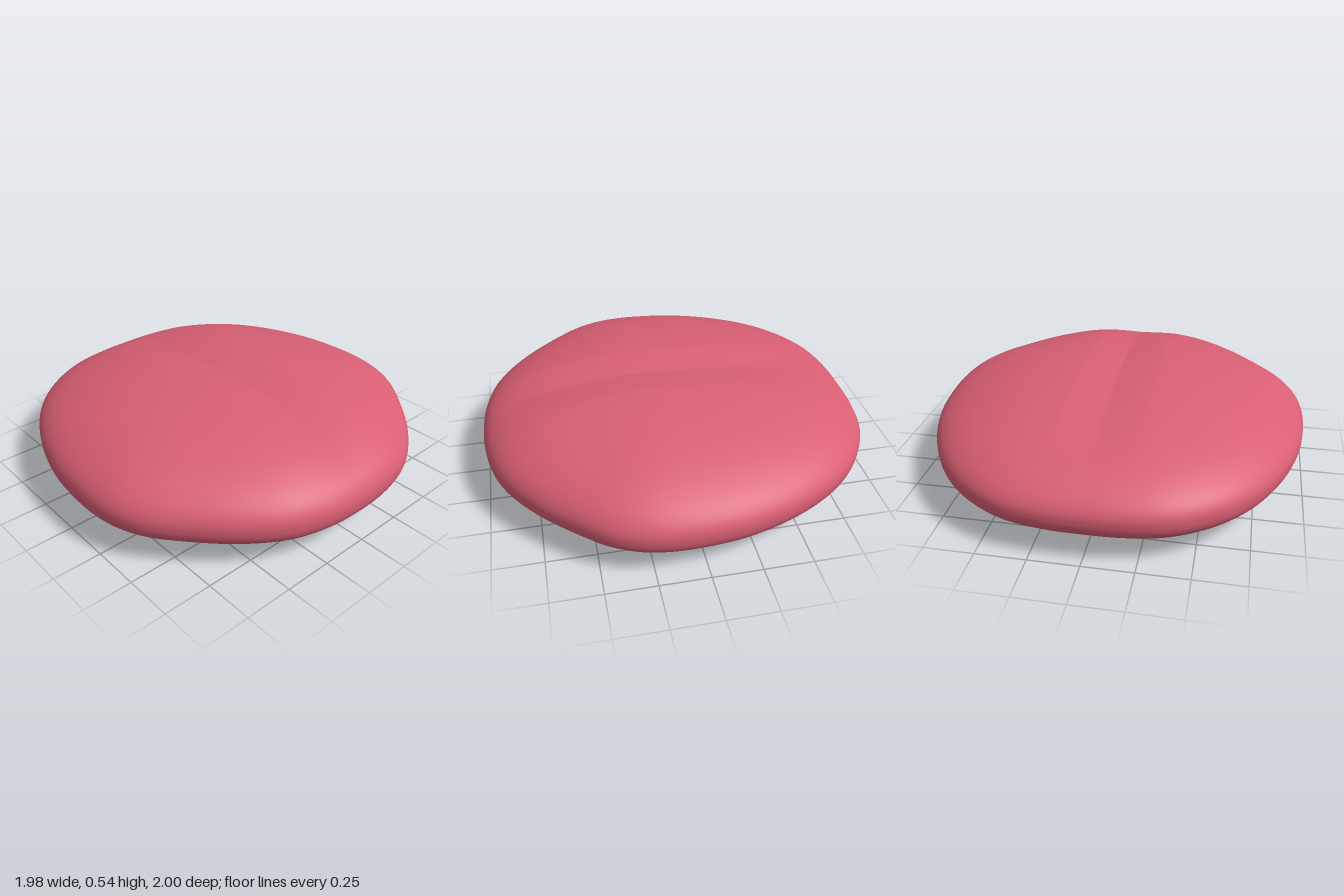
import * as THREE from 'three';
import { mergeVertices } from 'three/addons/utils/BufferGeometryUtils.js';

// Half of the plan outline (x, z), from the front tip round to the back
const HALF = [[0.2, 0.985], [0.4, 0.925], [0.6, 0.79], [0.8, 0.585], [0.9, 0.455], [0.96, 0.32],
  [0.985, 0.18], [0.985, 0], [0.96, -0.2], [0.88, -0.45], [0.75, -0.68], [0.6, -0.835], [0.4, -0.95], [0.2, -0.992]];

function outlineAtAngles(count) {
  const pts = [[0, 1], ...HALF, [0, -1], ...HALF.slice().reverse().map(([x, z]) => [-x, z])]
    .map(([x, z]) => new THREE.Vector3(x, 0, z));
  const dense = new THREE.CatmullRomCurve3(pts, true, 'centripetal').getPoints(1440);
  const angle = (p) => Math.atan2(p.x, p.z);
  // Radius of the outline in each evenly spaced direction, starting at the front
  return Array.from({ length: count }, (_, i) => {
    const a = (i / count) * Math.PI * 2;
    let best = dense[0], gap = 9;
    for (const p of dense) {
      const d = Math.abs(Math.sin((angle(p) - a) / 2));
      if (d < gap) { gap = d; best = p; }
    }
    return best.length();
  });
}

export function createModel() {
  const SEG = 128, MID = 0.245, TOP = 0.3;
  const radii = outlineAtAngles(SEG);
  const geo = new THREE.SphereGeometry(1, SEG, 72);
  const pos = geo.attributes.position;

  // Reshape the sphere into a flattened pad with a soft groove along the top
  for (let i = 0; i < pos.count; i++) {
    const px = pos.getX(i), py = pos.getY(i), pz = pos.getZ(i);
    const s = Math.hypot(px, pz);
    const a = Math.atan2(px, pz);
    const k = ((Math.round((a / (Math.PI * 2)) * SEG) % SEG) + SEG) % SEG;
    const power = py >= 0 ? 1 : 0.8;
    const r = radii[k] * Math.pow(s, power);
    const x = Math.sin(a) * r, z = Math.cos(a) * r;
    let y = MID;
    if (py >= 0) {
      const fade = Math.max(0, 1 - Math.pow(Math.abs(z - 0.08) / 0.88, 3));
      const groove = 0.031 * Math.max(0, 1 - Math.abs(x) / 0.2) * fade;
      y += py * TOP * (1 + 0.08 * z) - groove;
    } else {
      y -= MID * Math.pow(-py, power);
    }
    pos.setXYZ(i, x, y, z);
  }

  // Weld the seam so the shading is smooth all round
  geo.deleteAttribute('uv');
  geo.deleteAttribute('normal');
  const welded = mergeVertices(geo, 1e-4);
  welded.computeVertexNormals();

  const pad = new THREE.Mesh(welded, new THREE.MeshStandardMaterial({ color: 0xd95f74 }));
  pad.name = 'groovedPad';
  const group = new THREE.Group();
  group.name = 'tongue';
  group.add(pad);
  return group;
}
